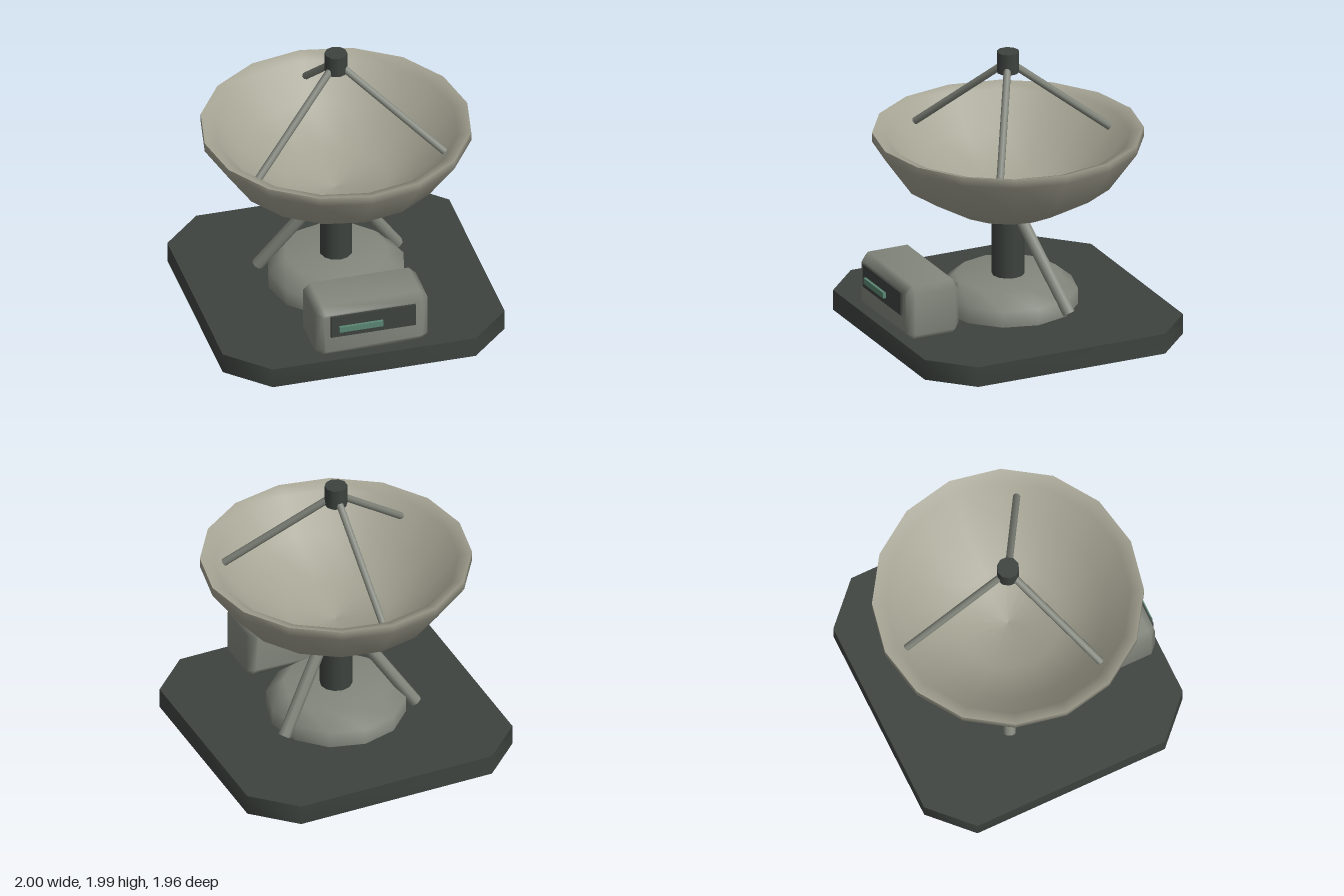
import * as THREE from 'three';
import { mergeVertices, toCreasedNormals } from 'three/addons/utils/BufferGeometryUtils.js';

const material = (color) => new THREE.MeshStandardMaterial({ color });
const v2 = (x, y) => new THREE.Vector2(x, y);
const v3 = (x, y, z) => new THREE.Vector3(x, y, z);

// Rectangle with cut corners, centred on the origin
function cutRectangle(hx, hy, cx, cy) {
  return new THREE.Shape([
    v2(hx, -hy + cy), v2(hx, hy - cy), v2(hx - cx, hy), v2(-hx + cx, hy),
    v2(-hx, hy - cy), v2(-hx, -hy + cy), v2(-hx + cx, -hy), v2(hx - cx, -hy),
  ]);
}

// Straight round bar between two points
function bar(from, to, radius, sides) {
  const dir = to.clone().sub(from);
  const geo = new THREE.CylinderGeometry(radius, radius, dir.length(), sides);
  geo.applyQuaternion(new THREE.Quaternion().setFromUnitVectors(v3(0, 1, 0), dir.normalize()));
  const mid = from.clone().add(to).multiplyScalar(0.5);
  return geo.translate(mid.x, mid.y, mid.z);
}

export function createModel() {
  const group = new THREE.Group();
  const dark = material(0x3d433f);
  const grey = material(0x82867c);
  const pale = material(0xa5a393);
  const green = material(0x5b8773);

  const add = (name, geometry, mat) => {
    const mesh = new THREE.Mesh(geometry, mat);
    mesh.name = name;
    group.add(mesh);
    return mesh;
  };

  // Base slab with cut corners
  const slab = new THREE.ExtrudeGeometry(cutRectangle(1, 0.98, 0.28, 0.27), { depth: 0.145, bevelEnabled: false });
  slab.rotateX(-Math.PI / 2);
  add('baseSlab', toCreasedNormals(slab, 0.9), dark);

  // Domed foot and mast
  add('mastFoot', new THREE.LatheGeometry(
    [v2(0.48, 0.145), v2(0.48, 0.26), v2(0.36, 0.36), v2(0, 0.36)], 12), grey);
  add('mast', new THREE.CylinderGeometry(0.112, 0.112, 0.52, 12).translate(0, 0.58, 0), dark);

  // Rear braces
  for (const s of [-1, 1]) {
    add(s > 0 ? 'leftBrace' : 'rightBrace',
      bar(v3(s * 0.09, 0.82, -0.035), v3(s * 0.495, 0.195, -0.225), 0.044, 8), grey);
  }

  // Dish: outer wall, sloping lip (doubled point keeps the rim sharp), then the inner bowl
  add('dish', new THREE.LatheGeometry([
    v2(0, 0.797), v2(0.1, 0.802), v2(0.39, 0.868), v2(0.733, 1.068), v2(0.932, 1.347), v2(0.932, 1.411),
    v2(0.932, 1.411), v2(0.84, 1.38), v2(0.66, 1.15), v2(0.36, 0.96), v2(0, 0.89),
  ], 16), pale);

  // Receiver held over the dish by three struts
  add('receiver', new THREE.CylinderGeometry(0.078, 0.078, 0.15, 10).translate(0, 1.915, 0), dark);
  for (let i = 0; i < 3; i++) {
    const a = Math.PI / 6 + i * Math.PI * 2 / 3;
    const at = (r, y) => v3(r * Math.cos(a), y, r * Math.sin(a));
    add('receiverStrut', bar(at(0.04, 1.885), at(0.77, 1.305), 0.026, 8), grey);
  }

  // Control box with chamfered, softly shaded edges
  const chamfer = 0.05;
  let box = new THREE.ExtrudeGeometry(cutRectangle(0.4, 0.2, chamfer, chamfer), {
    depth: 0.4 - 2 * chamfer, bevelSize: chamfer, bevelThickness: chamfer,
    bevelOffset: -chamfer, bevelSegments: 1,
  });
  box.deleteAttribute('normal');
  box.deleteAttribute('uv');
  box = mergeVertices(box);
  box.computeVertexNormals();
  add('controlBox', box, grey).position.set(0, 0.345, 0.545 + chamfer);

  // Panel and lit display on the box front
  add('controlPanel', new THREE.BoxGeometry(0.6, 0.165, 0.04).translate(0, 0.4, 0.94), dark);
  add('display', new THREE.BoxGeometry(0.31, 0.042, 0.03).translate(-0.09, 0.383, 0.965), green);

  return group;
}
